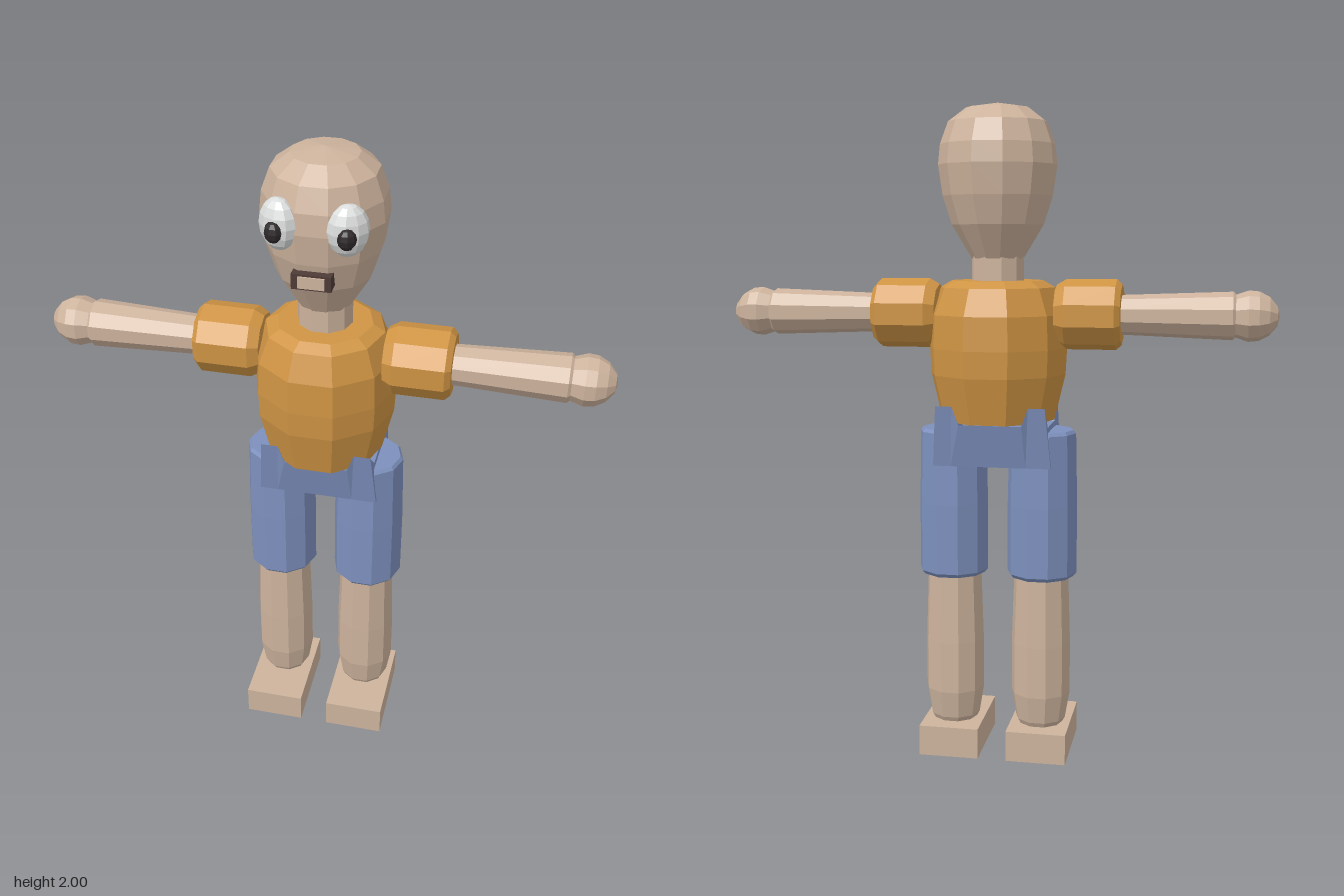
import * as THREE from 'three';

const mat = (name, color) => {
  const m = new THREE.MeshStandardMaterial({ color });
  m.name = name;
  return m;
};

// Split faces so every facet gets its own normal
function faceted(geo) {
  const g = geo.index ? geo.toNonIndexed() : geo;
  g.computeVertexNormals();
  return g;
}

export function createModel() {
  const skin = mat('skin', 0xcdb39d);
  const shirt = mat('shirt orange', 0xcf9444);
  const denim = mat('shorts blue', 0x7d90bd);
  const white = mat('eye white', 0xdcdedd);
  const black = mat('pupil black', 0x2e282a);
  const lip = mat('mouth dark', 0x4d3b37);

  const model = new THREE.Group();
  model.name = 'figure';

  const add = (name, geo, material, x = 0, y = 0, z = 0) => {
    const mesh = new THREE.Mesh(faceted(geo), material);
    mesh.name = name;
    mesh.position.set(x, y, z);
    model.add(mesh);
    return mesh;
  };
  // Profile given as [radius, height], bottom to top
  const turned = (profile, sides) => new THREE.LatheGeometry(
    profile.map(([r, h]) => new THREE.Vector2(r, h)), sides, Math.PI / sides);
  const ball = (rx, ry, rz, w = 10, h = 8) =>
    new THREE.SphereGeometry(1, w, h).scale(rx, ry, rz);

  // Head and neck
  add('head', turned([[0, 1.54], [0.078, 1.545], [0.105, 1.59], [0.138, 1.645], [0.165, 1.73],
    [0.178, 1.82], [0.172, 1.88], [0.148, 1.945], [0.095, 1.985], [0, 2]], 12), skin);
  add('neck', turned([[0.08, 1.45], [0.08, 1.56]], 10), skin);

  // Shirt body
  add('torso', turned([[0, 1.05], [0.175, 1.06], [0.208, 1.2], [0.212, 1.28], [0.207, 1.38],
    [0.175, 1.46], [0.14, 1.48], [0, 1.48]], 10), shirt);

  // Mouth with a tooth plate
  add('mouth', new THREE.BoxGeometry(0.11, 0.045, 0.06), lip, 0, 1.688, 0.146);
  add('teeth', new THREE.BoxGeometry(0.074, 0.034, 0.009), skin, 0, 1.688, 0.176);

  // Waist: flared block whose top corners rise into points
  const xs = [-0.165, -0.115, -0.095, 0.095, 0.115, 0.165];
  const zs = [-0.137, -0.07, 0.07, 0.137];
  const waist = new THREE.BoxGeometry(5, 1, 3, 5, 1, 3);
  const p = waist.attributes.position;
  for (let i = 0; i < p.count; i++) {
    const ix = Math.round(p.getX(i) + 2.5), iz = Math.round(p.getZ(i) + 1.5);
    const outerX = ix < 2 || ix > 3, outerZ = iz === 0 || iz === 3;
    if (p.getY(i) > 0) {
      p.setXYZ(i, xs[ix], outerX && outerZ ? 1.11 : outerZ ? 1.055 : 1.045, zs[iz]);
    } else {
      p.setXYZ(i, xs[ix] * 1.09, 0.925, zs[iz] * 0.78);
    }
  }
  add('waist', waist, denim);

  for (const [side, s] of [['left', 1], ['right', -1]]) {
    // Bulging eye turned slightly outward, with pupil
    const eye = add(side + 'Eye', ball(0.058, 0.073, 0.043), white, s * 0.093, 1.837, 0.145);
    eye.rotation.y = s * 0.45;
    const pupil = add(side + 'Pupil', ball(0.026, 0.03, 0.02, 8, 6), black, s * 0.098, 1.83, 0.186);
    pupil.rotation.y = s * 0.3;

    // Sleeve, arm and hand along x
    const limb = [
      ['Sleeve', [[0, 0.17], [0.088, 0.18], [0.105, 0.21], [0.105, 0.36], [0.09, 0.376], [0, 0.376]], shirt],
      ['Arm', [[0.058, 0.35], [0.071, 0.7], [0.064, 0.708], [0, 0.708]], skin],
      ['Hand', [[0, 0.69], [0.06, 0.7], [0.075, 0.745], [0.072, 0.775], [0.056, 0.805], [0.028, 0.828], [0, 0.834]], skin],
    ];
    for (const [name, profile, material] of limb) {
      const mesh = add(side + name, turned(profile, 10), material, 0, 1.38, 0);
      mesh.rotation.z = -s * Math.PI / 2;
    }

    // Shorts leg, lower leg and foot
    add(side + 'ShortsLeg', turned([[0, 0.573], [0.098, 0.573], [0.108, 0.585], [0.108, 0.8],
      [0.103, 1.02], [0.095, 1.03], [0, 1.03]], 10), denim, s * 0.139);
    add(side + 'LowerLeg', turned([[0, 0.095], [0.07, 0.1], [0.078, 0.115], [0.092, 0.2],
      [0.092, 0.36], [0.084, 0.6]], 10), skin, s * 0.137);
    add(side + 'Foot', new THREE.BoxGeometry(0.186, 0.095, 0.296), skin, s * 0.137, 0.0475, 0.038);
  }
  return model;
}
